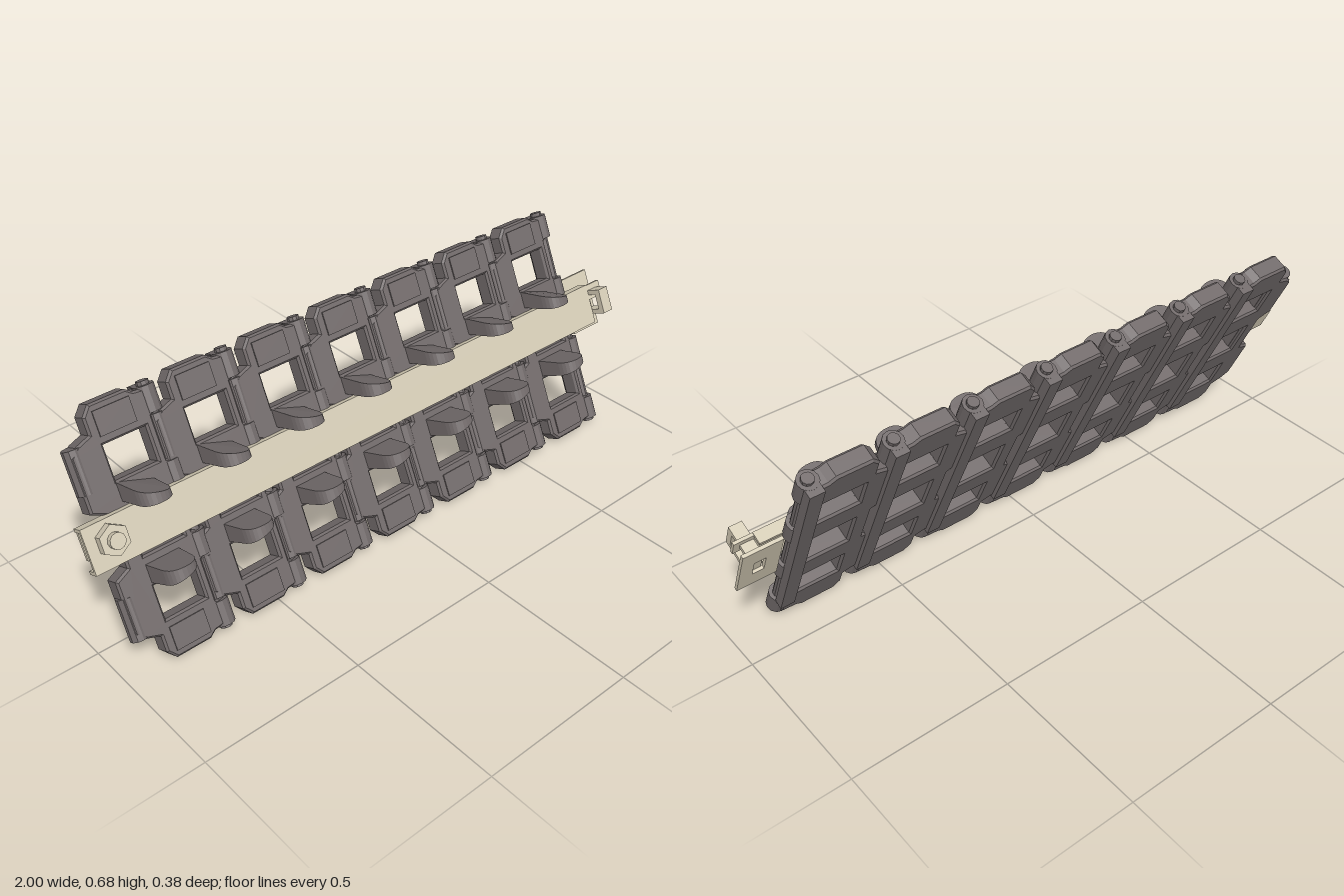
import * as THREE from 'three';

const trackMat = new THREE.MeshStandardMaterial({ color: 0x716a6a, flatShading: true });
const holderMat = new THREE.MeshStandardMaterial({ color: 0xd4cbb5, flatShading: true });

const PITCH = 0.253, LINKS = 7, LAST_X = 0.71;

function add(parent, name, geometry, material, x = 0, y = 0, z = 0) {
  const mesh = new THREE.Mesh(geometry, material);
  mesh.name = name;
  mesh.position.set(x, y, z);
  parent.add(mesh);
  return mesh;
}

const box = (w, h, d) => new THREE.BoxGeometry(w, h, d);
const points = pts => pts.map(p => new THREE.Vector2(p[0], p[1]));
const rect = (x0, x1, y0, y1) => [[x0, y0], [x0, y1], [x1, y1], [x1, y0]];

// Outline runs clockwise, holes run the other way so their walls face inward
function shapeOf(outline, holes = []) {
  const shape = new THREE.Shape(points(outline));
  for (const h of holes) shape.holes.push(new THREE.Path(points(h).reverse()));
  return shape;
}

// Cast body: mirrored outline with three windows
function bodyGeometry() {
  const half = [
    [-0.09, 0.08], [-0.134, 0.1], [-0.134, 0.25], [-0.11, 0.27], [-0.066, 0.285],
    [-0.066, 0.335], [-0.045, 0.359], [0.06, 0.359], [0.08, 0.345], [0.125, 0.34],
    [0.125, 0.285], [0.105, 0.275], [0.105, 0.145], [0.125, 0.135], [0.125, 0.075], [0.105, 0.065],
  ];
  const lower = half.map(([x, y]) => [x, -y]).reverse();
  const windows = [[-0.07, 0.07], [0.146, 0.258], [-0.258, -0.146]].map(([a, b]) => rect(-0.05, 0.092, a, b));
  const g = new THREE.ExtrudeGeometry(shapeOf([...half, ...lower], windows), {
    depth: 0.046, bevelEnabled: true, bevelSize: 0.006, bevelThickness: 0.007, bevelSegments: 1,
  });
  return g.translate(0, 0, -0.028);
}

// Guide horn: rounded wedge, thick on one edge, thinner toward its tip
function hornGeometry(side, innerBase, innerTip) {
  const s = new THREE.Shape();
  s.moveTo(-0.055, -0.01);
  s.lineTo(0.055, -0.01);
  s.lineTo(0.047, 0.105);
  s.quadraticCurveTo(0.042, 0.148, 0, 0.148);
  s.quadraticCurveTo(-0.042, 0.148, -0.047, 0.105);
  s.closePath();
  const g = new THREE.ExtrudeGeometry(s, { depth: 1, bevelEnabled: false, curveSegments: 6 });
  const p = g.attributes.position;
  for (let i = 0; i < p.count; i++) {
    const t = p.getY(i) / 0.148;
    const outward = side > 0 ? 1 - p.getZ(i) : p.getZ(i);
    const thickness = (0.056 - 0.014 * t) * (0.68 - 5.8 * p.getX(i));
    p.setZ(i, -side * (innerBase + (innerTip - innerBase) * t + outward * thickness));
  }
  g.rotateX(Math.PI / 2);
  g.computeVertexNormals();
  return g;
}

function makeLink(geo) {
  const link = new THREE.Group();
  add(link, 'linkBody', geo.body, trackMat);
  add(link, 'hingePin', geo.pin, trackMat, 0.126, 0, 0);
  add(link, 'grouser', geo.grouser, trackMat, 0.124, 0.034, -0.033);
  add(link, 'upperGuideHorn', geo.hornUp, trackMat, 0.005);
  add(link, 'lowerGuideHorn', geo.hornDown, trackMat, 0.005);
  for (const s of [1, -1]) {
    add(link, 'outerHingeLug', geo.lug, trackMat, 0.124, s * 0.316, 0);
    add(link, 'innerHingeLug', geo.innerLug, trackMat, 0.124, s * 0.105, 0);
    add(link, 'hingeKnuckle', geo.knuckle, trackMat, -0.122, s * 0.21, 0);
    add(link, 'padRib', geo.padRib, trackMat, 0.01, s * 0.31, 0.026);
  }
  return link;
}

// Long retaining channel, open at the back
function channelGeometry(length) {
  const shape = shapeOf([
    [-0.05, -0.048], [-0.05, 0.082], [-0.012, 0.082], [-0.012, 0.072],
    [-0.04, 0.072], [-0.04, -0.038], [-0.012, -0.038], [-0.012, -0.048],
  ]);
  const g = new THREE.ExtrudeGeometry(shape, { depth: length, bevelEnabled: false });
  return g.rotateY(Math.PI / 2);
}

// Square eye, open along the length of the holder
function eyeGeometry() {
  const shape = shapeOf(rect(-0.1, 0.01, -0.019, 0.062), [rect(-0.08, -0.012, -0.004, 0.047)]);
  return new THREE.ExtrudeGeometry(shape, { depth: 0.04, bevelEnabled: false }).rotateY(Math.PI / 2);
}

function makeHolder() {
  const holder = new THREE.Group();
  holder.name = 'holder';
  add(holder, 'retainingChannel', channelGeometry(1.93), holderMat, -1);

  // End bracket with slot
  const plate = shapeOf(rect(0.88, 1, -0.073, 0.116), [rect(0.925, 0.96, -0.01, 0.05)]);
  add(holder, 'endBracket', new THREE.ExtrudeGeometry(plate, { depth: 0.011, bevelEnabled: false }), holderMat, 0, 0, -0.019);
  add(holder, 'lockEye', eyeGeometry(), holderMat, 0.93);
  add(holder, 'lockTab', box(0.065, 0.05, 0.01), holderMat, 0.957, 0.055, 0.045);

  // Bolt at the other end
  const bolt = (r, d, sides) => new THREE.CylinderGeometry(r, r, d, sides).rotateX(Math.PI / 2);
  add(holder, 'boltHead', bolt(0.045, 0.026, 6), holderMat, -0.93, 0.025, 0.063);
  add(holder, 'boltTip', bolt(0.023, 0.02, 12), holderMat, -0.93, 0.025, 0.083);
  add(holder, 'boltShank', bolt(0.02, 0.07, 12), holderMat, -0.93, 0.025, 0.015);
  add(holder, 'boltFoot', box(0.07, 0.08, 0.012), holderMat, -0.95, 0.02, -0.014);
  return holder;
}

export function createModel() {
  const model = new THREE.Group();
  const rack = new THREE.Group();
  rack.name = 'tiltedTrackRack';
  rack.position.y = 0.345;
  rack.rotation.x = -THREE.MathUtils.degToRad(25);
  model.add(rack);

  const geo = {
    body: bodyGeometry(),
    pin: new THREE.CylinderGeometry(0.018, 0.018, 0.728, 10),
    lug: new THREE.CylinderGeometry(0.031, 0.031, 0.074, 12),
    innerLug: new THREE.CylinderGeometry(0.031, 0.031, 0.07, 12),
    knuckle: new THREE.CylinderGeometry(0.027, 0.027, 0.125, 10),
    grouser: box(0.045, 0.637, 0.03),
    padRib: box(0.11, 0.07, 0.006),
    hornUp: hornGeometry(1, 0.098, 0.082),
    hornDown: hornGeometry(-1, 0.086, 0.1),
  };
  for (let i = 0; i < LINKS; i++) {
    const link = makeLink(geo);
    link.name = 'trackLink' + (i + 1);
    link.position.x = LAST_X - (LINKS - 1 - i) * PITCH;
    rack.add(link);
  }
  // Rod that hangs the first link
  add(rack, 'hangerRod', box(0.02, 0.4, 0.02), trackMat, -0.86, 0.02, -0.01);
  rack.add(makeHolder());
  return model;
}
